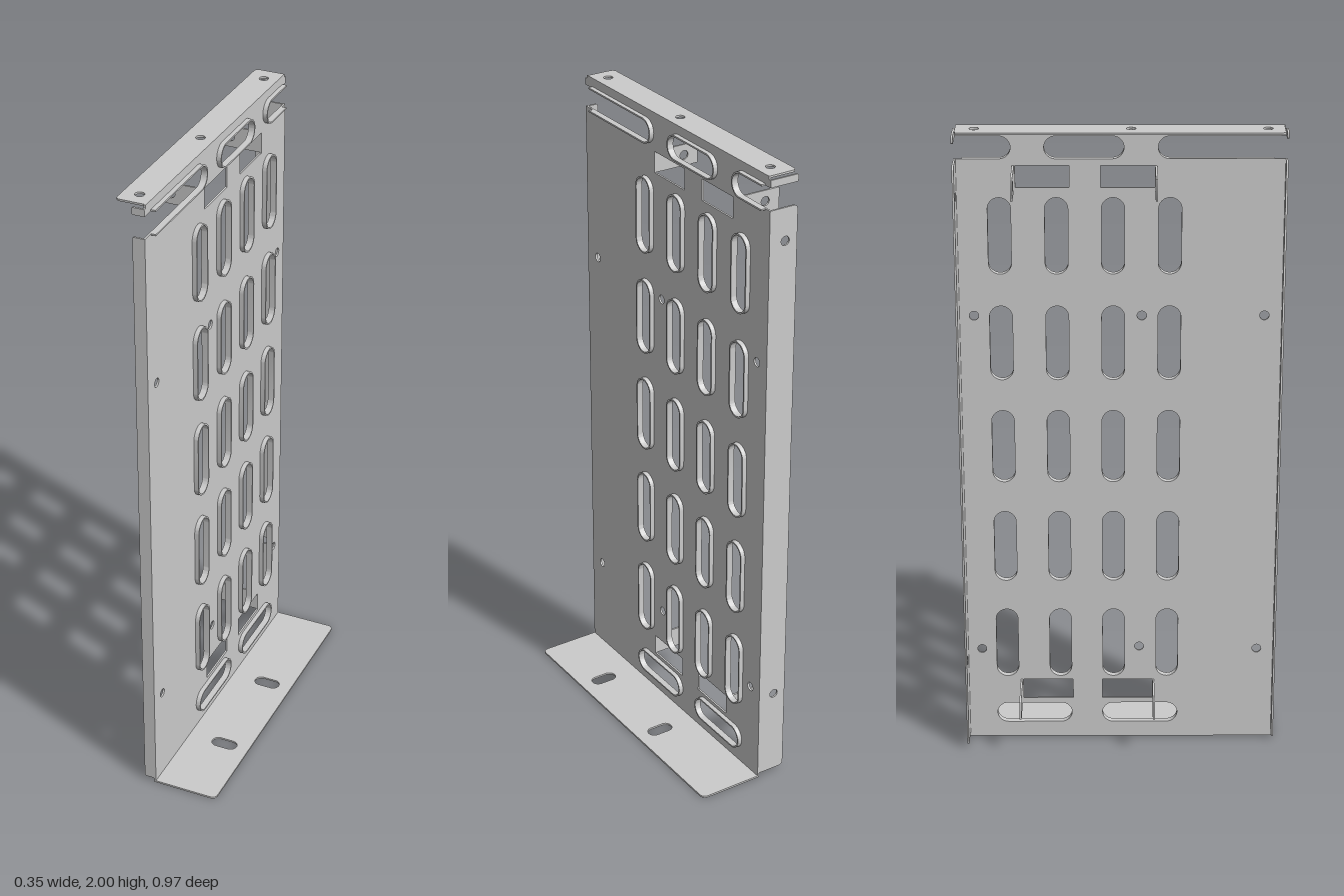
import * as THREE from 'three';
import { toCreasedNormals } from 'three/addons/utils/BufferGeometryUtils.js';

const T = 0.006;        // sheet thickness
const PX = -0.033;      // outer (-x) face of the main panel
const ZE = 0.484;       // half depth of the panel
const R = 0.034;        // slot radius
const material = new THREE.MeshStandardMaterial({ color: 0xcccccc, side: THREE.DoubleSide });

// Stadium path; hl = half length between the arc centres
function slot(cx, cy, hl, r, vertical = false, Type = THREE.Path) {
  const p = new Type();
  const dx = vertical ? 0 : hl, dy = vertical ? hl : 0, a = vertical ? 0 : -Math.PI / 2;
  p.absarc(cx + dx, cy + dy, r, a, a + Math.PI, false);
  p.absarc(cx - dx, cy - dy, r, a + Math.PI, a + 2 * Math.PI, false);
  p.closePath();
  return p;
}

function round(cx, cy, r = 0.014) {
  return new THREE.Path().absarc(cx, cy, r, 0, Math.PI * 2, false);
}

function rectHole(x0, y0, x1, y1) {
  return new THREE.Path([[x0, y0], [x1, y0], [x1, y1], [x0, y1], [x0, y0]].map(p => new THREE.Vector2(...p)));
}

// Flat strip from x0 to x1, with the corners at x1 rounded
function strip(x0, y0, x1, y1, r = 0.015) {
  const s = Math.sign(x1 - x0);
  const p = new THREE.Shape();
  p.moveTo(x0, y0);
  p.lineTo(x1 - s * r, y0);
  p.quadraticCurveTo(x1, y0, x1, y0 + r);
  p.lineTo(x1, y1 - r);
  p.quadraticCurveTo(x1, y1, x1 - s * r, y1);
  p.lineTo(x0, y1);
  p.closePath();
  return p;
}

// Points of a slot end that opens sideways in direction dir, up to u = end
function openSlot(c, cy, r, dir, end) {
  const pts = [new THREE.Vector2(end, cy - r)];
  for (let i = 0; i <= 16; i++) {
    const t = (i / 16 - 0.5) * Math.PI;
    pts.push(new THREE.Vector2(c - dir * r * Math.cos(t), cy + r * Math.sin(t)));
  }
  pts.push(new THREE.Vector2(end, cy + r));
  return pts;
}

export function createModel() {
  const group = new THREE.Group();

  // plane 'x': shape is (-z, y); plane 'y': shape is (x, -z); plane 'z': shape is (x, y)
  function sheet(name, shape, plane, at, holes = [], depth = T) {
    shape.holes.push(...holes);
    let g = new THREE.ExtrudeGeometry(shape, { depth, bevelEnabled: false, curveSegments: 12 });
    if (plane === 'x') g.rotateY(Math.PI / 2);
    if (plane === 'y') g.rotateX(-Math.PI / 2);
    g = toCreasedNormals(g, 0.6);
    const mesh = new THREE.Mesh(g, material);
    mesh.name = name;
    mesh.position[plane] = at;
    group.add(mesh);
  }

  // Closed slots: [u, y, half length, vertical]
  const slots = [];
  for (const u of [-0.145, 0.022, 0.188, 0.355])
    for (let i = 1; i <= 5; i++) slots.push([u, i / 3, 0.083, true]);
  for (const u of [-0.061, 0.272]) slots.push([u, 0.086, 0.084, false]);
  const topY = 1.934;
  slots.push([0.106, topY, 0.082, false]);

  // Main panel, with open slots at the two top corners
  const outline = [
    new THREE.Vector2(-ZE, 0), new THREE.Vector2(ZE, 0),
    ...openSlot(0.353, topY, R, 1, ZE),
    new THREE.Vector2(ZE, 1.99), new THREE.Vector2(0.475, 1.99),
    new THREE.Vector2(0.475, 2), new THREE.Vector2(-0.475, 2),
    new THREE.Vector2(-0.475, 1.99), new THREE.Vector2(-ZE, 1.99),
    ...openSlot(-0.143, topY, R, -1, -ZE).reverse(),
  ];
  const holes = slots.map(([u, y, hl, v]) => slot(u, y, hl, R, v));
  for (const [y0, y1] of [[0.137, 0.203], [1.814, 1.88]]) {
    holes.push(rectHole(-0.106, y0, 0.058, y1), rectHole(0.15, y0, 0.306, y1));
  }
  for (const [u, y] of [[-0.427, 1.42], [-0.063, 1.42], [0.435, 1.42], [-0.427, 0.312], [-0.058, 0.32], [0.435, 0.312]])
    holes.push(round(u, y));
  sheet('mainPanel', new THREE.Shape(outline), 'x', PX, holes);

  // Raised rims around the slots
  const rimX = PX + T, rimDepth = 0.014, rimR = R + 0.005;
  for (const [u, y, hl, v] of slots)
    sheet('slotRim', slot(u, y, hl, rimR, v, THREE.Shape), 'x', rimX, [slot(u, y, hl, R, v)], rimDepth);
  for (const [c, dir, end] of [[-0.143, -1, -0.445], [0.353, 1, 0.46]]) {
    const pts = [...openSlot(c, topY, rimR, dir, end), ...openSlot(c, topY, R, dir, end).reverse()];
    sheet('openSlotRim', new THREE.Shape(pts), 'x', rimX, [], rimDepth);
  }

  // Bottom foot and top flange
  sheet('bottomFlange', strip(PX, -ZE, 0.176, ZE, 0.02), 'y', 0,
    [slot(0.093, 0.111, 0.021, 0.021), slot(0.093, -0.231, 0.021, 0.021)]);
  sheet('topFlange', strip(PX + T, -0.472, -0.12, 0.475), 'y', 2 - T,
    [round(-0.07, 0.42), round(-0.07, -0.03), round(-0.07, -0.423)]);

  // Side flanges and the short lips above the corner notches
  sheet('backFlange', strip(PX + T, 0.015, -0.12, 1.9), 'z', -ZE, [round(-0.08, 1.8), round(-0.08, 0.295)]);
  sheet('frontFlange', strip(PX + T, 0.015, -0.065, 1.9, 0.006), 'z', ZE - T);
  sheet('backLip', strip(PX + T, 1.968, -0.12, 1.99, 0.004), 'z', -ZE);
  sheet('frontLip', strip(PX + T, 1.968, -0.065, 1.99, 0.004), 'z', ZE - T);

  // Mounting tabs folded out of the rectangular openings
  for (const y of [0.17, 1.847])
    for (const z of [0.1, -0.315])
      sheet('mountingTab', strip(PX + T, y - 0.033, -0.178, y + 0.033, 0.004), 'z', z, [round(-0.13, y)]);

  return group;
}
